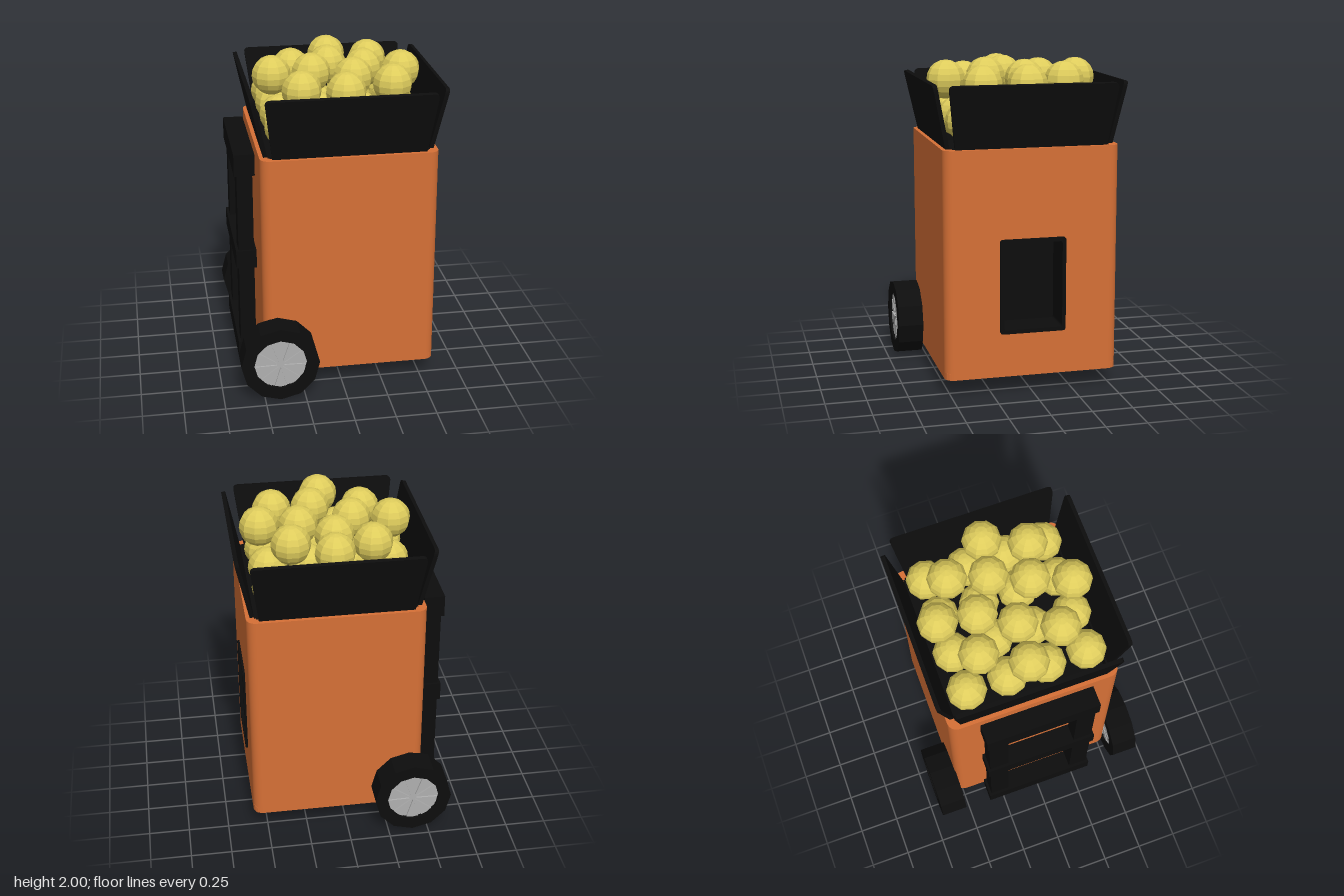
import * as THREE from 'three';

const mat = (name, color, flatShading = false) => {
  const m = new THREE.MeshStandardMaterial({ color, flatShading });
  m.name = name;
  return m;
};

export function createModel() {
  const orange = mat('orange shell', 0xd67036);
  const black = mat('black plastic', 0x0d0d0d, true);
  const grey = mat('grey hub', 0xb0b0b0, true);
  const yellow = mat('yellow ball', 0xdecc5c, true);

  const model = new THREE.Group();
  model.name = 'ballMachine';

  const add = (parent, name, geo, material, x = 0, y = 0, z = 0) => {
    const mesh = new THREE.Mesh(geo, material);
    mesh.name = name;
    mesh.position.set(x, y, z);
    parent.add(mesh);
    return mesh;
  };
  const box = (parent, name, material, sx, sy, sz, x, y, z) =>
    add(parent, name, new THREE.BoxGeometry(sx, sy, sz), material, x, y, z);
  const rect = (w, h, r, T = THREE.Shape) => {
    const s = new T();
    const a = w / 2, b = h / 2;
    s.moveTo(-a + r, -b);
    s.lineTo(a - r, -b).quadraticCurveTo(a, -b, a, -b + r);
    s.lineTo(a, b - r).quadraticCurveTo(a, b, a - r, b);
    s.lineTo(-a + r, b).quadraticCurveTo(-a, b, -a, b - r);
    s.lineTo(-a, -b + r).quadraticCurveTo(-a, -b, -a + r, -b);
    return s;
  };
  const extrude = (shape, depth) =>
    new THREE.ExtrudeGeometry(shape, { depth, bevelEnabled: false, curveSegments: 5 });

  // Hollow cabinet: four walls, rounded corner posts, bottom
  const cabinet = new THREE.Group();
  cabinet.name = 'cabinet';
  cabinet.position.x = 0.05;
  model.add(cabinet);
  const H = 0.535, R = 0.06, T = 0.05, Y0 = 0.11, Y1 = 1.5;
  const tall = Y1 - Y0, midY = (Y0 + Y1) / 2, span = 2 * (H - R);
  for (const s of [-1, 1]) {
    box(cabinet, 'cabinetWall', orange, span, tall, T, 0, midY, s * (H - T / 2));
  }
  box(cabinet, 'cabinetWall', orange, T, tall, span, -H + T / 2, midY, 0);
  const sideWall = rect(span, tall, 0.001);
  const cut = new THREE.Path();
  const winY = 0.67 - midY;
  cut.moveTo(-0.19, winY - 0.28);
  cut.lineTo(-0.19, winY + 0.28).lineTo(0.19, winY + 0.28).lineTo(0.19, winY - 0.28);
  cut.closePath();
  sideWall.holes.push(cut);
  add(cabinet, 'windowWall', extrude(sideWall, T), orange, H - T, midY, 0).rotation.y = Math.PI / 2;
  [[1, 1], [1, -1], [-1, -1], [-1, 1]].forEach(([sx, sz], i) => {
    const post = new THREE.CylinderGeometry(R, R, tall, 8, 1, false, i * Math.PI / 2, Math.PI / 2);
    add(cabinet, 'cornerPost', post, orange, sx * (H - R), midY, sz * (H - R));
  });
  const bottom = extrude(rect(2 * H - 0.002, 2 * H - 0.002, R), 0.04);
  bottom.rotateX(-Math.PI / 2);
  add(cabinet, 'cabinetBottom', bottom, orange, 0, Y0 + 0.001, 0);

  // Throwing window: black tray with a slightly raised rim
  const rim = rect(0.405, 0.58, 0.02);
  rim.holes.push(rect(0.36, 0.53, 0.015, THREE.Path));
  add(cabinet, 'windowRim', extrude(rim, 0.015), black, H - 0.001, 0.67, 0).rotation.y = Math.PI / 2;
  const tunnel = rect(0.379, 0.559, 0.015);
  tunnel.holes.push(rect(0.36, 0.53, 0.015, THREE.Path));
  add(cabinet, 'windowRecess', extrude(tunnel, 0.2), black, H - 0.2, 0.67, 0).rotation.y = Math.PI / 2;
  box(cabinet, 'windowBack', black, 0.02, 0.56, 0.38, H - 0.2, 0.67, 0);

  // Hopper lining and floor
  box(cabinet, 'hopperFloor', black, 0.96, 0.02, 0.96, 0, 1.4, 0);
  for (let i = 0; i < 4; i++) {
    const side = new THREE.Group();
    side.name = 'hopperSide';
    side.rotation.y = i * Math.PI / 2;
    cabinet.add(side);
    box(side, 'hopperLining', black, 0.95, 0.11, 0.012, 0, 1.447, 0.48);

    // Outward-leaning flap with rounded top corners
    const f = new THREE.Shape();
    const h = 0.388, a = 0.46, b = 0.51, r = 0.035;
    f.moveTo(-a, -0.01);
    f.lineTo(a, -0.01).lineTo(b - 0.005, h - r).quadraticCurveTo(b, h, b - r, h);
    f.lineTo(-b + r, h).quadraticCurveTo(-b, h, -b + 0.005, h - r);
    f.closePath();
    add(side, 'hopperFlap', extrude(f, 0.025), black, 0, Y1, 0.485).rotation.x = 0.207;
  }

  // Two layers of balls
  const ball = new THREE.SphereGeometry(0.12, 10, 10);
  const balls = new THREE.Group();
  balls.name = 'balls';
  model.add(balls);
  for (const z of [-0.37, -0.12, 0.12, 0.37]) {
    for (const x of [-0.32, -0.075, 0.17, 0.415]) add(balls, 'lowerBall', ball, yellow, x, 1.65, z);
  }
  [
    [0.05, 1.86, -0.41], [-0.2, 1.83, -0.25], [0.29, 1.86, -0.27], [0.02, 1.86, -0.18],
    [-0.35, 1.86, 0], [-0.11, 1.87, 0.02], [0.22, 1.87, -0.04], [0.45, 1.86, 0],
    [0.12, 1.88, 0.18], [-0.2, 1.83, 0.25], [0.35, 1.85, 0.25], [0.04, 1.86, 0.41],
  ].forEach((p) => add(balls, 'upperBall', ball, yellow, ...p));

  // Trolley frame behind the cabinet
  const frame = new THREE.Group();
  frame.name = 'trolleyFrame';
  model.add(frame);
  for (const s of [-1, 1]) {
    box(frame, 'framePost', black, 0.095, 1.35, 0.12, -0.562, 0.795, s * 0.28);
    box(frame, 'frameMount', black, 0.04, 0.1, 0.1, -0.495, 0.2, s * 0.28);
  }
  for (const y of [0.18, 0.803, 1.417]) {
    box(frame, 'frameCrossbar', black, 0.125, y > 1 ? 0.135 : 0.115, 0.71, -0.563, y, 0);
  }

  // Wheels: twelve-sided tyre, recessed hub, ten wedge-shaped spokes
  const w = 0.082;
  const tyre = new THREE.LatheGeometry(
    [[0.162, w], [0.162, -w], [0.24, -w], [0.24, w], [0.162, w]].map((p) => new THREE.Vector2(...p)), 12);
  tyre.rotateX(Math.PI / 2);
  const hub = new THREE.CylinderGeometry(0.163, 0.163, 0.12, 24);
  hub.rotateX(Math.PI / 2);
  const wedge = new THREE.Shape();
  wedge.moveTo(0.025, 0);
  wedge.lineTo(0.15, -0.038).lineTo(0.156, 0).lineTo(0.15, 0.038);
  wedge.closePath();
  const spoke = extrude(wedge, 0.012);
  for (const s of [-1, 1]) {
    const wheel = new THREE.Group();
    wheel.name = s > 0 ? 'frontWheel' : 'backWheel';
    wheel.position.set(-0.403, 0.243, s * 0.612);
    model.add(wheel);
    add(wheel, 'tyre', tyre, black);
    add(wheel, 'hub', hub, grey);
    for (let i = 0; i < 10; i++) {
      for (const z of [0.058, -0.07]) {
        add(wheel, 'spoke', spoke, grey, 0, 0, z).rotation.z = (i + 0.5) * Math.PI / 5;
      }
    }
  }
  const axle = new THREE.CylinderGeometry(0.03, 0.03, 1.2, 12);
  axle.rotateX(Math.PI / 2);
  add(model, 'axle', axle, black, -0.403, 0.243, 0);

  return model;
}
